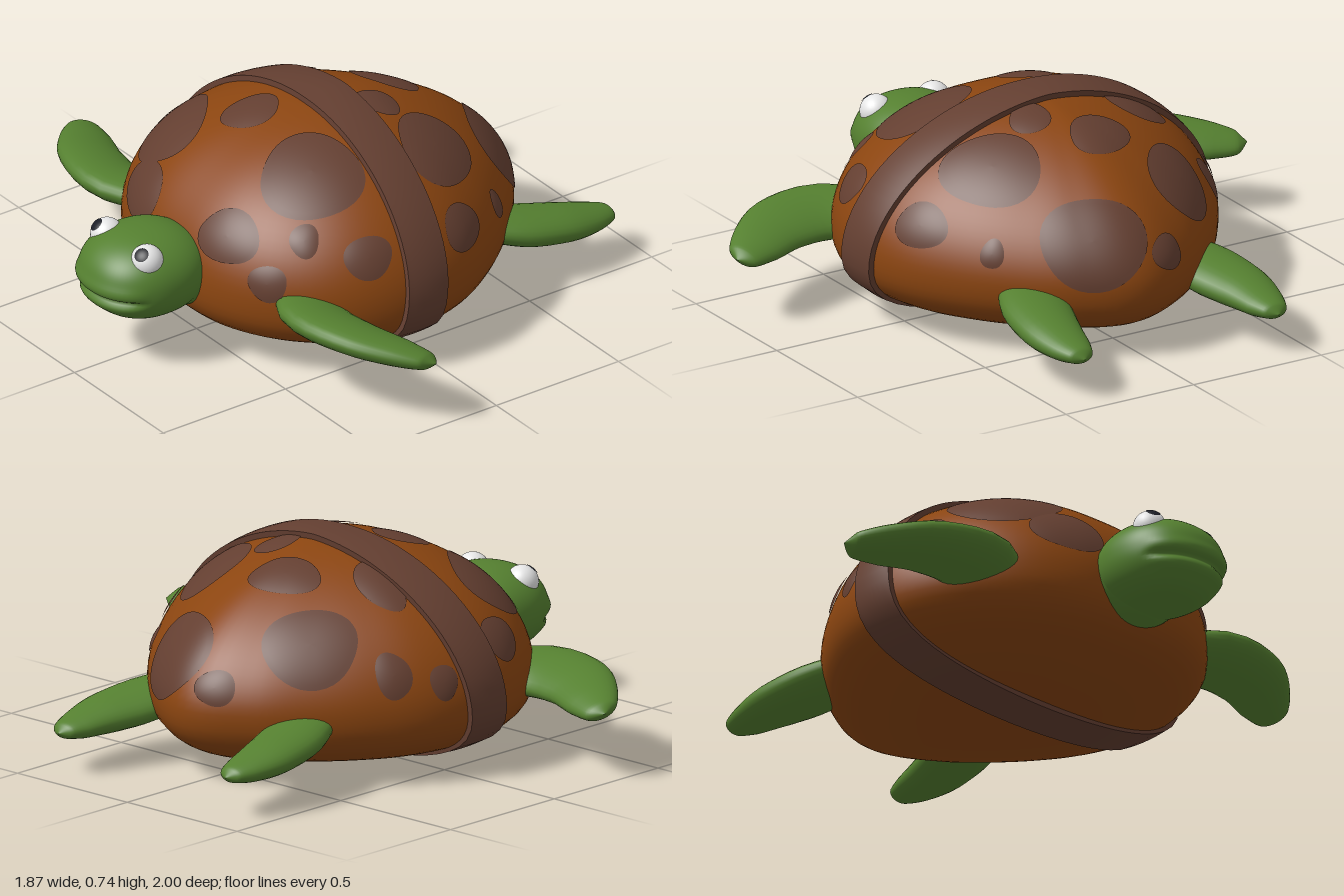
import * as THREE from 'three';
import { mergeGeometries } from 'three/addons/utils/BufferGeometryUtils.js';

const mat = (name, color) => {
  const m = new THREE.MeshStandardMaterial({ color });
  m.name = name;
  return m;
};

// Surface from a function f(u, v) -> Vector3, closed around u; faces look along du x dv
function surface(f, nu, nv) {
  const pos = [], idx = [];
  for (let j = 0; j <= nv; j++)
    for (let i = 0; i < nu; i++) pos.push(...f(i / nu, j / nv).toArray());
  for (let j = 0; j < nv; j++)
    for (let i = 0; i < nu; i++) {
      const k = (i + 1) % nu, a = j * nu + i, b = j * nu + k, c = b + nu, d = a + nu;
      idx.push(a, b, c, a, c, d);
    }
  const g = new THREE.BufferGeometry();
  g.setAttribute('position', new THREE.Float32BufferAttribute(pos, 3));
  g.setIndex(idx);
  g.computeVertexNormals();
  return g;
}

const sphereDir = (u, v) => {
  const t = -u * Math.PI * 2, p = (v - 0.5) * Math.PI;
  return new THREE.Vector3(Math.cos(p) * Math.cos(t), Math.sin(p), Math.cos(p) * Math.sin(t));
};

// Shell shape: plan outline radius every 20 degrees, domed above and flattened below
const CENTER = new THREE.Vector3(0.05, 0.26, 0);
const OUTLINE = [0.68, 0.63, 0.59, 0.59, 0.625, 0.665, 0.69, 0.695, 0.688, 0.67];
const DOME = 0.46, BELLY = 0.24;

function outlineRadius(x, z) {
  const a = Math.abs(Math.atan2(z, x)) / Math.PI * 9;
  const i = Math.min(8, Math.floor(a)), t = a - i;
  const at = k => OUTLINE[k < 0 ? -k : k > 9 ? 18 - k : k];
  const [p, q, r, s] = [at(i - 1), at(i), at(i + 1), at(i + 2)];
  return q + 0.5 * t * (r - p + t * (2 * p - 5 * q + 4 * r - s + t * (3 * (q - r) + s - p)));
}
const domePower = (x, z) => 1.85 - 0.2 * x / (Math.hypot(x, z) || 1);

function shellRadius(d) {
  const p = d.y >= 0 ? domePower(d.x, d.z) : 2.7;
  const s = Math.hypot(d.x, d.z) / outlineRadius(d.x, d.z);
  const h = Math.abs(d.y) / (d.y >= 0 ? DOME : BELLY);
  return Math.pow(Math.pow(s, p) + Math.pow(h, p), -1 / p);
}
const onShell = (d, lift = 0) =>
  d.clone().multiplyScalar(shellRadius(d) + lift).add(CENTER);

// Spots: plan x, plan z, half width, half height
const SPOTS = [
  [-0.34, -0.35, 0.2, 0.14], [-0.2, -0.1, 0.09, 0.1], [-0.23, 0.28, 0.18, 0.165],
  [-0.53, 0.22, 0.12, 0.09], [-0.54, -0.25, 0.13, 0.1], [-0.37, 0.43, 0.05, 0.055],
  [-0.21, 0.57, 0.085, 0.07], [-0.18, -0.58, 0.085, 0.08], [0.16, 0.11, 0.07, 0.08],
  [0.31, -0.07, 0.13, 0.09], [0.25, 0.31, 0.17, 0.15], [0.13, -0.32, 0.07, 0.12],
  [0.43, -0.3, 0.165, 0.14], [0.61, 0.15, 0.18, 0.16], [0.27, -0.52, 0.06, 0.08],
  [0.19, 0.55, 0.1, 0.075], [0.42, 0.42, 0.04, 0.05], [0.68, -0.1, 0.07, 0.06],
  [-0.5, 0.4, 0.07, 0.06], [0.12, -0.61, 0.05, 0.06],
];

function spotGeometry([px, pz, a, b], n) {
  const x = px - CENTER.x, z = pz;
  const s = Math.min(0.99, Math.hypot(x, z) / outlineRadius(x, z)), p = domePower(x, z);
  const h = DOME * Math.pow(1 - Math.pow(s, p), 1 / p);
  const mid = new THREE.Vector3(x, h, z);
  const dir = mid.clone().normalize();
  const side = new THREE.Vector3(dir.z, 0, -dir.x).normalize();
  const up = dir.clone().cross(side);
  return surface((u, v) => {
    const k = 1 - v, t = u * Math.PI * 2;
    const w = k * (1 + 0.05 * Math.sin(3 * t + n) + 0.03 * Math.sin(2 * t + 2 * n));
    const d = mid.clone().addScaledVector(side, a * w * Math.cos(t))
      .addScaledVector(up, b * w * Math.sin(t)).normalize();
    return onShell(d, 0.004 + 0.006 * (1 - k * k));
  }, 40, 8);
}

// Belt wrapped round the shell in a slightly leaning plane
function beltPoint(u, w, lift) {
  const t = u * Math.PI * 2, c = Math.cos(t), s = Math.sin(t);
  const at = k => {
    const y = CENTER.y + k * c;
    return new THREE.Vector3(-0.07 + 0.127 * y + w, y, k * s);
  };
  let k = 0.5;
  for (let i = 0; i < 14; i++) {
    const d = at(k).sub(CENTER), r = d.length();
    k *= shellRadius(d.normalize()) / r;
  }
  return at(k + lift);
}
function beltGeometry() {
  const W = 0.082, corners = [[-W, -0.01], [-W, 0.02], [W, 0.02], [W, -0.01]];
  return mergeGeometries([0, 1, 2].map(i => {
    const [a, b] = [corners[i], corners[i + 1]];
    return surface((u, v) => beltPoint(u, a[0] + (b[0] - a[0]) * v, a[1] + (b[1] - a[1]) * v),
      96, i === 1 ? 8 : 1);
  }));
}

// Flipper rows from root to tip: x, y, z, half width, half thickness
const FRONT = [
  [-0.33, 0.26, 0.4, 0.1, 0.05], [-0.41, 0.265, 0.56, 0.13, 0.058], [-0.385, 0.265, 0.74, 0.118, 0.054],
  [-0.31, 0.25, 0.88, 0.09, 0.045], [-0.26, 0.24, 0.965, 0.055, 0.03], [-0.245, 0.24, 1, 0, 0],
];
const REAR = [
  [0.44, 0.22, 0.3, 0.1, 0.05], [0.58, 0.19, 0.345, 0.12, 0.062], [0.72, 0.17, 0.375, 0.105, 0.058],
  [0.84, 0.155, 0.38, 0.075, 0.042], [0.905, 0.15, 0.38, 0.045, 0.026], [0.93, 0.145, 0.38, 0, 0],
];
function flipperGeometry(rows, side) {
  const path = new THREE.CatmullRomCurve3(rows.map(r => new THREE.Vector3(r[0], r[1], r[2] * side)));
  const size = new THREE.CatmullRomCurve3(rows.map(r => new THREE.Vector3(r[3], r[4], 0)));
  return surface((u, v) => {
    const k = 1 - (1 - v) * (1 - v), t = u * Math.PI * 2;
    const T = path.getTangent(k), q = size.getPoint(k);
    const wide = new THREE.Vector3(T.z, 0, -T.x).normalize();
    wide.y = -0.25 * wide.x;
    const p = path.getPoint(k).addScaledVector(wide, q.x * Math.cos(t));
    p.y += q.y * Math.sin(t);
    return p;
  }, 28, 32);
}

// Rounded head with a mouth crease between two lips
function headGeometry() {
  const bump = (y, c, w) => Math.exp(-(((y - c) / w) ** 2));
  return surface((u, v) => {
    const d = sphereDir(u, v), e = 2.2;
    const r = Math.pow(Math.abs(d.x / 0.215) ** e + Math.abs(d.y / 0.15) ** e
      + Math.abs(d.z / 0.2) ** e, -1 / e);
    const y = 0.31 + r * d.y;
    const face = THREE.MathUtils.smoothstep(-d.x, 0.45, 0.8);
    const push = face * (0.008 * bump(y, 0.31, 0.022) + 0.006 * bump(y, 0.245, 0.02)
      - 0.02 * bump(y, 0.276, 0.01));
    return d.multiplyScalar(r + push).add(new THREE.Vector3(-0.72, 0.31, 0));
  }, 80, 80);
}

export function createModel() {
  const skin = mat('green skin', 0x558030), shellBrown = mat('shell brown', 0x8b4510);
  const dark = mat('dark brown', 0x643f31), white = mat('eye white', 0xe6e6e6);
  const black = mat('pupil black', 0x1c1e26);
  const model = new THREE.Group();
  model.name = 'turtle';
  const add = (name, geometry, material, parent = model) => {
    const m = new THREE.Mesh(geometry, material);
    m.name = name;
    parent.add(m);
    return m;
  };

  add('shell', surface((u, v) => onShell(sphereDir(u, v)), 112, 72), shellBrown);
  const spots = new THREE.Group();
  spots.name = 'shellSpots';
  model.add(spots);
  SPOTS.forEach((s, i) => add('spot' + (i + 1), spotGeometry(s, i), dark, spots));
  add('belt', beltGeometry(), dark);

  // Head, neck and eyes
  const head = new THREE.Group();
  head.name = 'headGroup';
  model.add(head);
  add('head', headGeometry(), skin, head);
  const neck = add('neck', new THREE.SphereGeometry(1, 40, 28), skin, head);
  neck.scale.set(0.15, 0.14, 0.175);
  neck.position.set(-0.6, 0.29, 0);

  for (const side of [1, -1]) {
    const label = side > 0 ? 'Front' : 'Back';
    const eye = add('eye' + label, new THREE.SphereGeometry(0.056, 32, 24), white, head);
    eye.position.set(-0.785, 0.406, 0.112 * side);
    const pupil = add('pupil' + label, new THREE.SphereGeometry(0.058, 28, 8, 0, Math.PI * 2, 0, 0.44), black, head);
    pupil.position.copy(eye.position);
    pupil.quaternion.setFromUnitVectors(new THREE.Vector3(0, 1, 0),
      new THREE.Vector3(-0.55, 0.65, 0.25 * side).normalize());
    add('foreFlipper' + label, flipperGeometry(FRONT, side), skin);
    add('hindFlipper' + label, flipperGeometry(REAR, side), skin);
  }
  return model;
}
